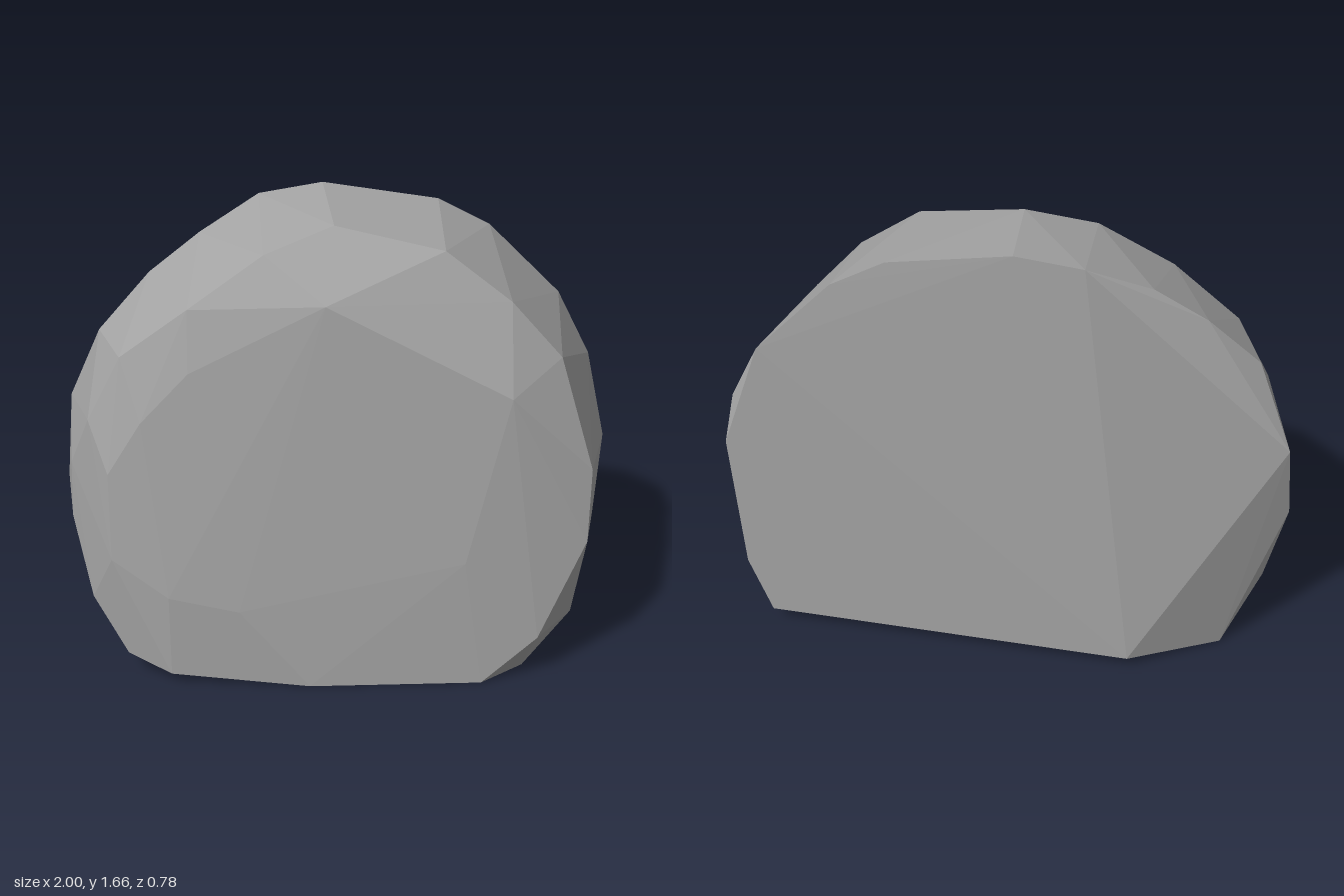
import * as THREE from 'three';
import { ConvexGeometry } from 'three/addons/geometries/ConvexGeometry.js';

// Rings of corners [x, y, z] that the faceted boulder is stretched over
const BACK = [ // flat back and its chamfer
  [0.87, 0.055, -0.39], [0.95, 0.28, -0.39], [0.98, 0.82, -0.39], [0.95, 1.0, -0.35],
  [0.83, 1.23, -0.39], [0.56, 1.5, -0.37], [0.37, 1.6, -0.36], [-0.05, 1.665, -0.35],
  [-0.28, 1.63, -0.33], [-0.49, 1.52, -0.22], [-0.67, 1.39, -0.165], [-0.85, 1.2, -0.09],
  [-0.98, 0.91, -0.18], [-1.0, 0.61, -0.12], [-0.93, 0.3, -0.11], [-0.48, 0.05, -0.39],
];
const FLANKS = [ // outermost corners of the two sides
  [1.0, 0.73, -0.2], [0.96, 0.46, -0.08], [0.88, 0.11, 0.05],
  [-0.95, 0.77, 0.11], [-0.96, 0.55, 0.1], [-0.87, 0.97, 0.19],
];
const RIM = [ // crease around the front
  [-0.75, 1.2, 0.18], [-0.51, 1.38, 0.2], [-0.25, 1.55, 0.13], [-0.01, 1.625, 0.04],
  [0.37, 1.55, 0.09], [0.6, 1.38, 0.13], [0.78, 1.18, 0.14], [0.9, 0.78, 0.21],
  [0.89, 0.52, 0.26], [0.72, 0.17, 0.34], [-0.6, 0.04, 0.365], [-0.76, 0.09, 0.3],
  [-0.89, 0.27, 0.2],
];
const FRONT = [ // gently leaning front face
  [-0.04, 1.41, 0.255], [0.6, 1.08, 0.28], [0.45, 0.48, 0.35], [-0.35, 0.3, 0.373],
  [-0.6, 0.35, 0.36], [-0.8, 0.48, 0.31], [-0.8, 0.8, 0.28], [-0.68, 0.99, 0.27],
  [-0.51, 1.17, 0.26],
];
const BASE = [ // footprint on the ground
  [0.52, 0, 0.37], [0.68, 0, 0.25], [0.63, 0, -0.17], [-0.8, 0, -0.17], [-0.1, 0, 0.39],
];

export function createModel() {
  const stone = new THREE.MeshStandardMaterial({ color: 0xa3a3a3 });
  stone.name = 'grey stone';

  const points = [BACK, FLANKS, RIM, FRONT, BASE].flat().map((p) => new THREE.Vector3(...p));
  const boulder = new THREE.Mesh(new ConvexGeometry(points), stone);
  boulder.name = 'boulder';

  const group = new THREE.Group();
  group.name = 'rock';
  group.add(boulder);
  return group;
}
